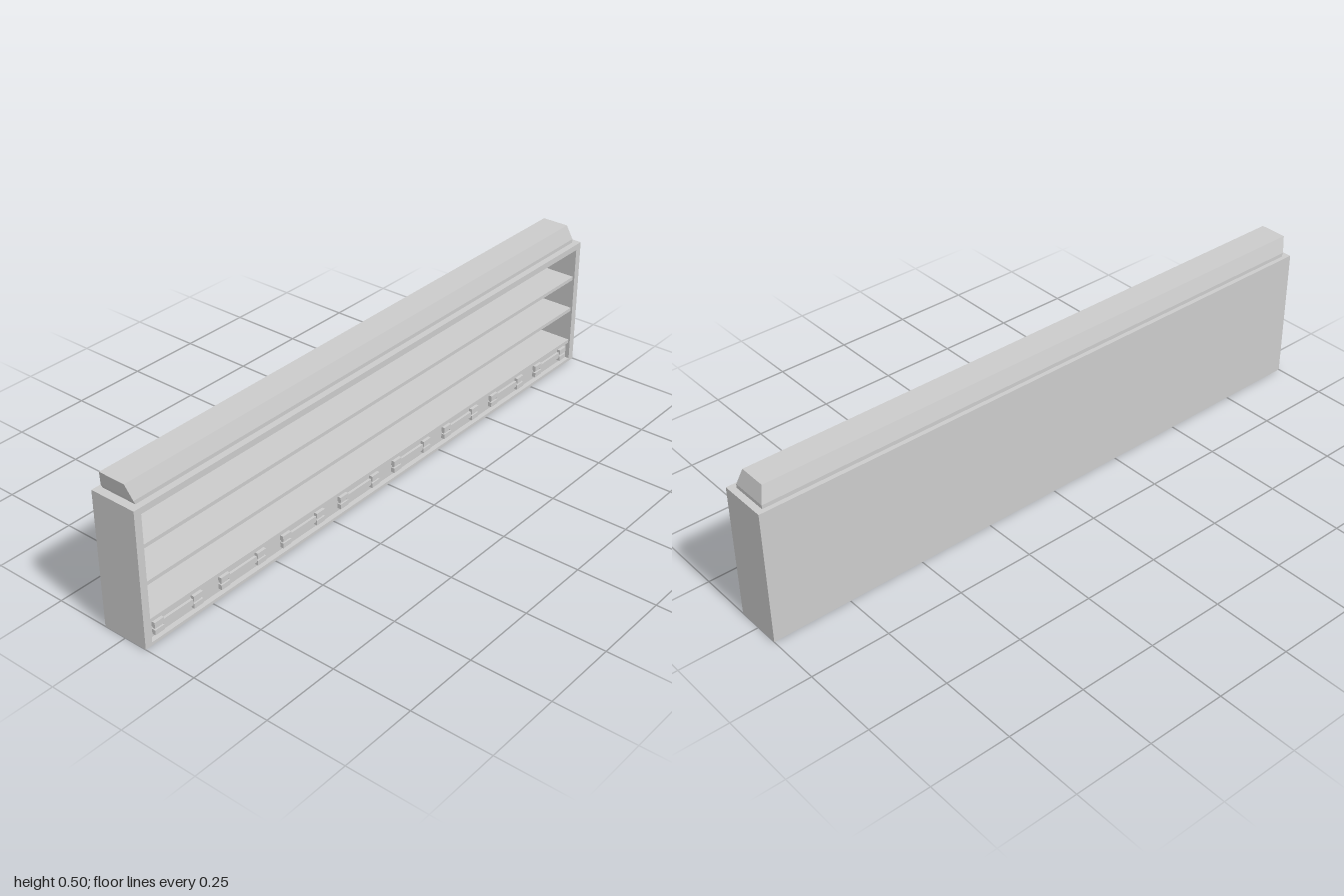
import * as THREE from 'three';

const material = new THREE.MeshStandardMaterial({ color: 0xcccccc, flatShading: true });

// Box given by its minimum and maximum on each axis
function slab(name, x0, x1, y0, y1, z0, z1) {
  const mesh = new THREE.Mesh(new THREE.BoxGeometry(x1 - x0, y1 - y0, z1 - z0), material);
  mesh.position.set((x0 + x1) / 2, (y0 + y1) / 2, (z0 + z1) / 2);
  mesh.name = name;
  return mesh;
}

function rectangle(PathType, x0, x1, y0, y1) {
  return new PathType([[x0, y0], [x1, y0], [x1, y1], [x0, y1]].map(p => new THREE.Vector2(...p)));
}

// Tapered header: a short upright collar, then walls leaning to a narrower, sideways shifted top
function headerGeometry() {
  const rows = [
    { y: 0.433, x: [-0.975, 0.98], z: [-0.062, 0.056] },
    { y: 0.445, x: [-0.98, 0.98], z: [-0.062, 0.056] },
    { y: 0.495, x: [-0.993, 0.965], z: [-0.048, 0.041] },
  ];
  const geometry = new THREE.BoxGeometry(2, 2, 2, 1, 2, 1);
  const p = geometry.attributes.position;
  for (let i = 0; i < p.count; i++) {
    const row = rows[Math.round(p.getY(i)) + 1];
    p.setXYZ(i, row.x[p.getX(i) > 0 ? 1 : 0], row.y, row.z[p.getZ(i) > 0 ? 1 : 0]);
  }
  geometry.computeVertexNormals();
  return geometry;
}

// One low front fitting: a long bar held between two pairs of small blocks
function fitting(x) {
  const group = new THREE.Group();
  group.name = 'kickFitting';
  group.add(slab('bar', -0.056, 0.056, 0.03, 0.05, 0.056, 0.068));
  for (const side of [-1, 1]) {
    const c = side * 0.072;
    group.add(slab('post', c - 0.013, c + 0.013, 0.022, 0.06, 0.056, 0.067));
    for (const y of [0.02, 0.044]) {
      group.add(slab('block', c - 0.017, c + 0.017, y, y + 0.016, 0.056, 0.072));
    }
  }
  group.position.x = x;
  return group;
}

export function createModel() {
  const model = new THREE.Group();
  model.name = 'shelfUnit';

  // Outer frame, open at the front, with a solid back
  const outline = rectangle(THREE.Shape, -1, 1, 0, 0.433);
  outline.holes.push(rectangle(THREE.Path, -0.976, 0.976, 0.01, 0.413));
  const frame = new THREE.Mesh(
    new THREE.ExtrudeGeometry(outline, { depth: 0.132, bevelEnabled: false }), material);
  frame.position.z = -0.056;
  frame.name = 'frame';
  model.add(frame, slab('backPanel', -1, 1, 0, 0.433, -0.076, -0.056));

  // Shelves
  for (const top of [0.08, 0.2, 0.315]) {
    model.add(slab('shelf', -0.976, 0.976, top - 0.012, top, -0.056, 0.07));
  }

  // Closed base below the lowest shelf, with its row of fittings
  model.add(slab('kickPanel', -0.976, 0.976, 0.01, 0.068, -0.056, 0.06));
  for (let i = 0; i < 8; i++) model.add(fitting(-0.87 + i * 0.2486));

  // Header on top
  const header = new THREE.Mesh(headerGeometry(), material);
  header.name = 'header';
  model.add(header);

  return model;
}
